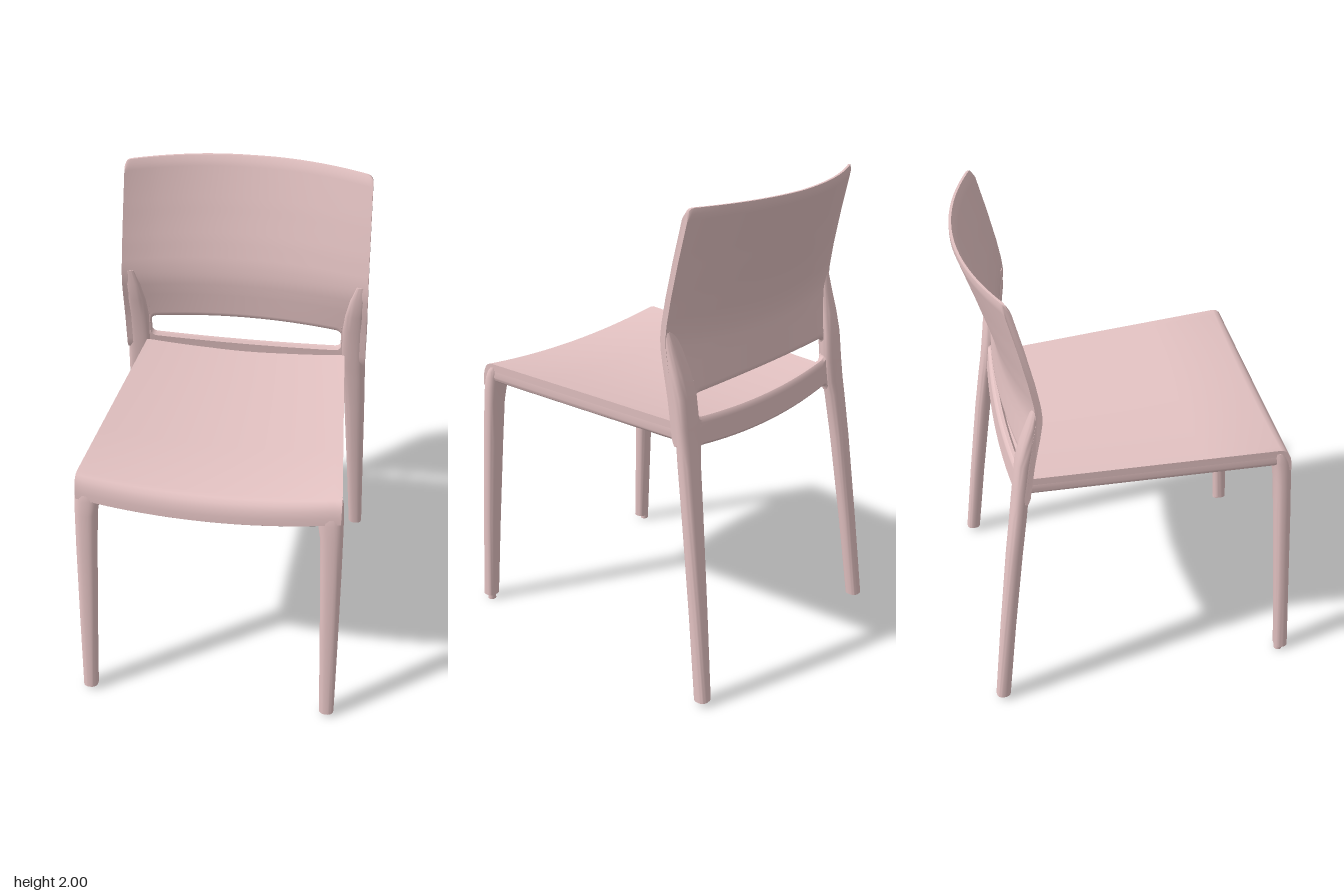
import * as THREE from 'three';
import { toCreasedNormals } from 'three/addons/utils/BufferGeometryUtils.js';

const material = new THREE.MeshStandardMaterial({ color: 0xe3c2c2 });

// Joins closed rings of points into a capped solid; "drop" is the axis ignored when filling the caps.
function loft(rings, drop, crease = 0.7) {
  const n = rings[0].length, pts = rings.flat(), idx = [];
  for (let r = 0; r < rings.length - 1; r++) {
    for (let i = 0; i < n; i++) {
      const a = r * n + i, b = r * n + (i + 1) % n;
      idx.push(a, b, b + n, a, b + n, a + n);
    }
  }
  const axes = ['x', 'y', 'z'].filter((k) => k !== drop);
  [0, rings.length - 1].forEach((r, end) => {
    const flat = rings[r].map((p) => new THREE.Vector2(p[axes[0]], p[axes[1]]));
    const sign = Math.sign(THREE.ShapeUtils.area(flat));
    for (const t of THREE.ShapeUtils.triangulateShape(flat, [])) {
      const same = Math.sign(THREE.ShapeUtils.area(t.map((i) => flat[i]))) === sign;
      const [a, b, c] = t.map((i) => i + r * n);
      if (same === (end === 1)) idx.push(a, b, c);
      else idx.push(a, c, b);
    }
  });
  // Turn the faces outwards
  let volume = 0;
  const cross = new THREE.Vector3();
  for (let i = 0; i < idx.length; i += 3) {
    volume += pts[idx[i]].dot(cross.crossVectors(pts[idx[i + 1]], pts[idx[i + 2]]));
  }
  if (volume < 0) idx.reverse();
  const g = new THREE.BufferGeometry().setFromPoints(pts);
  g.setIndex(idx);
  return toCreasedNormals(g, crease);
}

// Piecewise-linear lookup in [input, output] pairs
function lookup(table, v) {
  let i = 0;
  while (i < table.length - 2 && v > table[i + 1][0]) i++;
  const [[a, p], [b, q]] = [table[i], table[i + 1]];
  return THREE.MathUtils.mapLinear(THREE.MathUtils.clamp(v, a, b), a, b, p, q);
}

// Soft-cornered oval between two limits on each of two axes
function oval(a0, a1, b0, b1, make, power = 2.5) {
  const soft = (v) => Math.sign(v) * Math.abs(v) ** (2 / power);
  return Array.from({ length: 28 }, (_, i) => {
    const t = (i / 28) * Math.PI * 2;
    return make((a0 + a1) / 2 + soft(Math.cos(t)) * (a1 - a0) / 2,
      (b0 + b1) / 2 + soft(Math.sin(t)) * (b1 - b0) / 2);
  });
}

// Outline and curvature shared by the backrest and the rear crossbar
const halfWidth = (y) => lookup([[1, 0.549], [1.45, 0.543], [2, 0.525]], y);
const edgeZ = (y) => lookup([[1, -0.482], [1.13, -0.465], [1.27, -0.444], [1.4, -0.418], [1.46, -0.408],
  [1.5, -0.406], [1.55, -0.41], [1.65, -0.427], [1.8, -0.459], [2, -0.507]], y);
const sag = (y) => lookup([[1, 0.025], [1.15, 0.03], [1.27, 0.05], [1.5, 0.083], [1.75, 0.108], [2, 0.13]], y);
const half = [0.1, 0.2, 0.3, 0.4, 0.5, 0.6, 0.7, 0.75, 0.77, 0.785, 0.793, 0.798, 0.8, 0.86, 0.92, 0.96, 0.98, 0.992, 1];
const columns = [...half.map((u) => -u).reverse(), 0, ...half];

// Rounded corner of the slot, 0 in the middle and growing to its radius at the side
const fillet = (u) => {
  const d = THREE.MathUtils.clamp((Math.abs(u) - 0.75) / 0.048, 0, 1);
  return 0.028 * (1 - Math.sqrt(1 - d * d));
};

// Curved slab whose rows run from bottom(u) through middle(u) to top(u)
function curvedSlab(cols, bottom, middle, top, thick, rows) {
  return loft(cols.map((u) => {
    const front = [], back = [];
    for (let i = 0; i <= rows; i++) {
      const v = i / rows;
      const y = lookup([[0, bottom(u)], [0.3, middle(u)], [1, top(u)]], v);
      const inset = i === 0 || i === rows ? thick * 0.3 : 0;
      const x = u * halfWidth(y);
      const z = edgeZ(y) - sag(y) * (1 - u * u);
      front.push(new THREE.Vector3(x, y, z - inset));
      back.unshift(new THREE.Vector3(x, y, z - thick + inset));
    }
    return [...front, ...back];
  }), 'x');
}

// Seat outline: narrower at the back, dished across the middle
const seatHalf = (z) => lookup([[-0.5, 0.453], [0.57, 0.53], [0.7, 0.535]], z);
const seatTop = (z) => lookup([[-0.5, 1.13], [0.56, 1.165]], z);

function seatGeometry() {
  const section = [[-0.495, 1.13], [-0.25, 1.138], [0, 1.147], [0.25, 1.155], [0.555, 1.165], [0.572, 1.16],
    [0.586, 1.147], [0.596, 1.125], [0.602, 1.095], [0.604, 1.062], [0.598, 1.056], [0.583, 1.056],
    [0.578, 1.09], [0.568, 1.118], [0.545, 1.132], [0.25, 1.122], [0, 1.114], [-0.495, 1.098]];
  const rings = [];
  for (let i = 0; i <= 32; i++) {
    const u = i / 16 - 1, dish = 1 - u * u;
    rings.push(section.map(([z, y]) => new THREE.Vector3(u * seatHalf(z), y - 0.038 * dish,
      z + dish * lookup([[0.53, 0], [0.6, 0.017]], z))));
  }
  return loft(rings, 'x', 0.6);
}

// Leg sections: height, inner x, outer x, back z, front z
const frontLeg = [[0.02, 0.493, 0.557, 0.609, 0.67], [0.4, 0.478, 0.553, 0.585, 0.648], [0.8, 0.46, 0.547, 0.558, 0.626],
  [0.98, 0.45, 0.543, 0.546, 0.615], [1.05, 0.438, 0.541, 0.538, 0.61], [1.1, 0.43, 0.538, 0.53, 0.602],
  [1.13, 0.43, 0.535, 0.525, 0.588], [1.148, 0.44, 0.53, 0.525, 0.575]];
const backLeg = [[0.02, 0.524, 0.588, -0.667, -0.605], [0.4, 0.497, 0.574, -0.625, -0.561], [0.8, 0.467, 0.56, -0.577, -0.51],
  [1, 0.449, 0.552, -0.549, -0.482], [1.06, 0.436, 0.549, -0.54, -0.474], [1.15, 0.432, 0.548, -0.528, -0.462],
  [1.27, 0.434, 0.547, -0.514, -0.446], [1.36, 0.445, 0.545, -0.492, -0.428], [1.45, 0.465, 0.542, -0.462, -0.414],
  [1.52, 0.49, 0.538, -0.44, -0.414]];

export function createModel() {
  const chair = new THREE.Group();
  chair.name = 'chair';
  const add = (name, geometry) => {
    const mesh = new THREE.Mesh(geometry, material);
    mesh.name = name;
    chair.add(mesh);
    return mesh;
  };

  add('seat', seatGeometry());

  // Backrest, reaching down beside the slot into the uprights
  add('backrest', curvedSlab(columns,
    (u) => (Math.abs(u) > 0.798 ? 1.08 : 1.272 - 0.012 * (u / 0.8) ** 2 - fillet(u)),
    () => 1.4,
    (u) => 1.995 + 0.005 * Math.abs(u) - 0.02 * Math.max(0, (Math.abs(u) - 0.96) / 0.04) ** 3,
    0.026, 40));

  // Crossbar below the slot, behind the seat
  const barTop = (u) => 1.145 + 0.022 * (u / 0.8) ** 2 + fillet(u);
  const barBottom = (u) => 1.028 + 0.027 * (u / 0.8) ** 2 - fillet(u);
  add('rearCrossbar', curvedSlab(columns.filter((u) => Math.abs(u) < 0.9), barBottom,
    (u) => barBottom(u) * 0.7 + barTop(u) * 0.3, barTop, 0.034, 10));

  for (const [side, s] of [['left', 1], ['right', -1]]) {
    const leg = (table) => loft(table.map(([y, x0, x1, z0, z1]) =>
      oval(x0, x1, z0, z1, (x, z) => new THREE.Vector3(s * x, y, z))), 'y');
    add(side + 'FrontLeg', leg(frontLeg));
    add(side + 'BackLeg', leg(backLeg));

    // Side rail under the edge of the seat
    const rail = [-0.5, -0.25, 0, 0.25, 0.56].map((z) => oval(
      seatHalf(z) - 0.05, seatHalf(z), seatTop(z) - 0.082, seatTop(z) - 0.006,
      (x, y) => new THREE.Vector3(s * x, y, z), 3.5));
    add(side + 'SeatRail', loft(rail, 'z'));

    // Small glide under the front foot
    const glide = add(side + 'FrontGlide', new THREE.CylinderGeometry(0.018, 0.018, 0.03, 20));
    glide.position.set(s * 0.533, 0.015, 0.628);
  }
  return chair;
}
